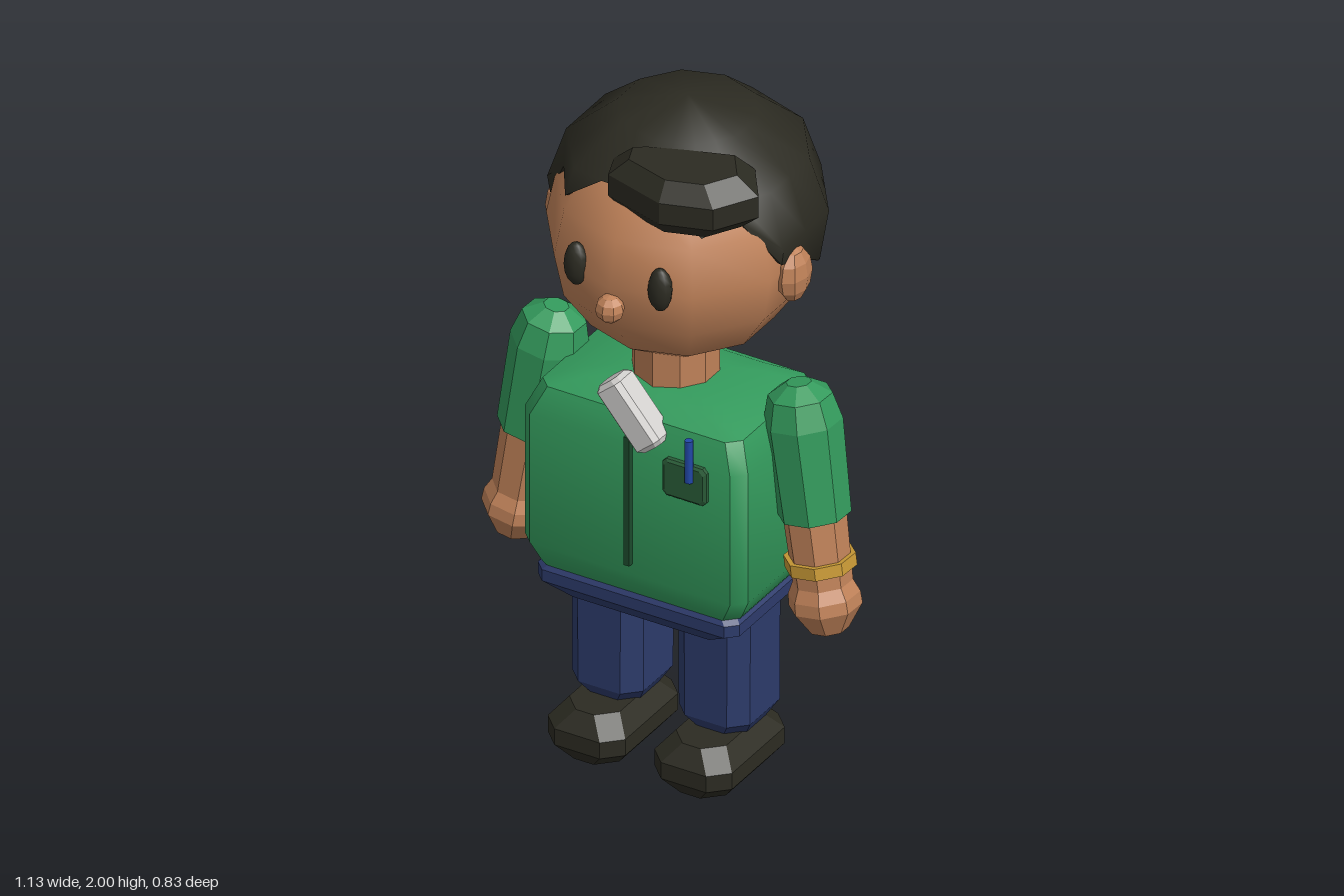
import * as THREE from 'three';
import { toCreasedNormals } from 'three/addons/utils/BufferGeometryUtils.js';

const mat = (name, color) => {
  const m = new THREE.MeshStandardMaterial({ color });
  m.name = name;
  return m;
};

// Cross-sections, listed so that the front edge runs towards +x
const ring = (y, pts, cx = 0, cz = 0, s = 1) => pts.map(([x, z]) => [cx + x * s, y, cz + z * s]);
const chamfered = (hx, hz, c) => [
  [c - hx, hz], [hx - c, hz], [hx, hz - c], [hx, c - hz],
  [hx - c, -hz], [c - hx, -hz], [-hx, c - hz], [-hx, hz - c],
];
const ngon = (r, n) => Array.from({ length: n }, (_, i) => {
  const a = ((i + 0.5) / n) * Math.PI * 2;
  return [Math.sin(a) * r, Math.cos(a) * r];
});

// Skin over rings from bottom to top, capped at both ends; crease 0 gives flat facets
function loft(rings, crease = 0) {
  const n = rings[0].length, pos = [], index = [];
  rings.forEach((r) => r.forEach((p) => pos.push(...p)));
  for (let j = 0; j < rings.length - 1; j++) {
    for (let i = 0; i < n; i++) {
      const a = j * n + i, b = j * n + ((i + 1) % n);
      index.push(a, b, a + n, b, b + n, a + n);
    }
  }
  [0, rings.length - 1].forEach((j) => {
    const c = pos.length / 3;
    for (let k = 0; k < 3; k++) pos.push(rings[j].reduce((t, p) => t + p[k], 0) / n);
    for (let i = 0; i < n; i++) {
      const a = j * n + i, b = j * n + ((i + 1) % n);
      if (j === 0) index.push(c, b, a);
      else index.push(c, a, b);
    }
  });
  const g = new THREE.BufferGeometry();
  g.setAttribute('position', new THREE.Float32BufferAttribute(pos, 3));
  g.setIndex(index);
  return facet(g, crease);
}

function facet(g, crease = 0) {
  if (crease) return toCreasedNormals(g, crease);
  const flat = g.toNonIndexed();
  flat.computeVertexNormals();
  return flat;
}

const boxLoft = (rows, c, crease) => loft(rows.map(([y, hx, hz]) => ring(y, chamfered(hx, hz, c))), crease);
const roundLoft = (rows, n) => loft(rows.map(([y, r]) => ring(y, ngon(r, n))));

// Faceted hair cap whose lower edge follows a hairline
function hairGeometry() {
  const profile = [[2.0, 0], [1.958, 0.193], [1.845, 0.333], [1.69, 0.385], [1.535, 0.36], [1.475, 0.3]];
  const hairline = [1.86, 1.85, 1.765, 1.79, 1.64, 1.6, 1.53, 1.51, 1.49, 1.48, 1.475];
  const radiusAt = (y) => {
    for (let k = 1; k < profile.length; k++) {
      const [y0, r0] = profile[k - 1], [y1, r1] = profile[k];
      if (y >= y1) return r0 + ((r1 - r0) * (y0 - y)) / (y0 - y1);
    }
    return 0.3;
  };
  const row = (limit, inset) => Array.from({ length: 20 }, (_, i) => {
    const a = (i * Math.PI) / 10;
    const y = Math.max(limit, hairline[i <= 10 ? i : 20 - i]);
    const r = radiusAt(y) * inset * (i % 2 ? Math.cos(Math.PI / 10) : 1);
    const z = Math.cos(a) * r;
    return [Math.sin(a) * r, y, z * (z > 0 ? 0.96 : 1) - 0.03];
  });
  const rows = profile.map(([y]) => row(y, 1)).reverse();
  return loft([row(0, 0.85), ...rows], 0.9);
}

export function createModel() {
  const model = new THREE.Group();
  model.name = 'figure';
  const skin = mat('skin', 0xc08259);
  const green = mat('shirt green', 0x339a5c);
  const navy = mat('trouser navy', 0x2d3b6b);
  const dark = mat('hair and shoe dark', 0x2c2b22);
  const gold = mat('bracelet gold', 0xc99a36);
  const pale = mat('pale grey', 0xd2d0ce);
  const zipGreen = mat('zip green', 0x1c4a2c);
  const pocketGreen = mat('pocket green', 0x2a5c38);
  const blue = mat('pen blue', 0x2248a8);

  const add = (name, geo, material, x = 0, y = 0, z = 0, parent = model) => {
    const m = new THREE.Mesh(geo, material);
    m.name = name;
    m.position.set(x, y, z);
    parent.add(m);
    return m;
  };

  // Head and face
  const head = new THREE.SphereGeometry(1, 10, 8).rotateY(Math.PI / 2).scale(0.365, 0.345, 0.36);
  add('head', head, skin, 0, 1.605, 0.01);
  add('hair', hairGeometry(), dark);
  add('nose', facet(new THREE.SphereGeometry(0.041, 8, 6)), skin, 0, 1.545, 0.37);
  const ear = facet(new THREE.SphereGeometry(1, 8, 6).scale(0.042, 0.082, 0.065));
  const eye = new THREE.SphereGeometry(1, 10, 8).scale(0.035, 0.065, 0.03);

  // Swept fringe
  const fringe = [[-0.06, 0.28], [0.13, 0.335], [0.27, 0.29], [0.34, 0.17], [0.26, 0.055], [0.1, 0.11], [-0.05, 0.17], [-0.09, 0.2]]
    .map(([x, z]) => [x - 0.12, z - 0.2]);
  const fringeRows = [[1.79, 0.78], [1.83, 1], [1.895, 1], [1.947, 0.72]];
  add('fringe', loft(fringeRows.map(([y, s]) => ring(y, fringe, 0.12, 0.2, s))), dark);

  // Neck, shirt and hips
  add('neck', new THREE.CylinderGeometry(0.12, 0.12, 0.2, 10).toNonIndexed(), skin, 0, 1.23, 0.03).geometry.computeVertexNormals();
  add('shirt', boxLoft([
    [0.565, 0.29, 0.2], [0.6, 0.315, 0.22], [0.66, 0.345, 0.238], [1.06, 0.345, 0.238],
    [1.14, 0.31, 0.205], [1.172, 0.22, 0.15], [1.188, 0.12, 0.1],
  ], 0.035, 0.6), green, 0, 0, 0.03);
  add('hips', boxLoft([[0.49, 0.24, 0.18], [0.54, 0.312, 0.222], [0.575, 0.312, 0.222], [0.598, 0.29, 0.205]], 0.03), navy, 0, 0, 0.03);

  // Shirt details
  add('zip', new THREE.BoxGeometry(0.018, 0.4, 0.02), zipGreen, 0, 0.895, 0.276);
  add('pocket', boxLoft([[0, 0.068, 0.057], [0.016, 0.068, 0.057], [0.022, 0.06, 0.05]], 0.012).rotateX(Math.PI / 2), pocketGreen, 0.175, 1.008, 0.262);
  add('pen', new THREE.CylinderGeometry(0.012, 0.012, 0.13, 8), blue, 0.193, 1.083, 0.285);
  const tag = boxLoft([[-0.108, 0.035, 0.033], [-0.094, 0.047, 0.045], [0.094, 0.047, 0.045], [0.108, 0.035, 0.033]], 0.014);
  add('collarTag', tag, pale, 0.003, 1.16, 0.25).rotation.z = 0.7;

  // Limb shapes
  const leg = boxLoft([[0.14, 0.08, 0.09], [0.19, 0.11, 0.122], [0.53, 0.112, 0.122]], 0.045);
  const shoe = boxLoft([[0, 0.08, 0.15], [0.05, 0.12, 0.186], [0.1, 0.12, 0.186], [0.152, 0.078, 0.145]], 0.05);
  const sleeve = roundLoft([[-0.385, 0.1], [-0.11, 0.108], [-0.035, 0.088], [0, 0.035]], 8);
  const forearm = roundLoft([[-0.725, 0.055], [-0.655, 0.1], [-0.62, 0.098], [-0.585, 0.082], [-0.35, 0.088]], 8);

  for (const [side, s] of [['left', 1], ['right', -1]]) {
    add(side + 'Ear', ear, skin, 0.357 * s, 1.58, 0.015);
    add(side + 'Eye', eye, dark, 0.13 * s, 1.622, 0.328);
    add(side + 'Leg', leg, navy, 0.165 * s, 0, 0.03);
    add(side + 'Shoe', shoe, dark, 0.165 * s, 0, 0.08);

    const arm = new THREE.Group();
    arm.name = side + 'Arm';
    arm.position.set(0.375 * s, 1.25, 0.022);
    arm.rotation.set(-0.045, 0, 0.155 * s);
    add(side + 'Sleeve', sleeve, green, 0, 0, 0, arm);
    add(side + 'ForearmAndHand', forearm, skin, 0, 0, 0, arm);
    if (s > 0) add('bracelet', roundLoft([[-0.018, 0.098], [0.018, 0.098]], 8), gold, 0, -0.525, 0, arm);
    model.add(arm);
  }
  return model;
}
